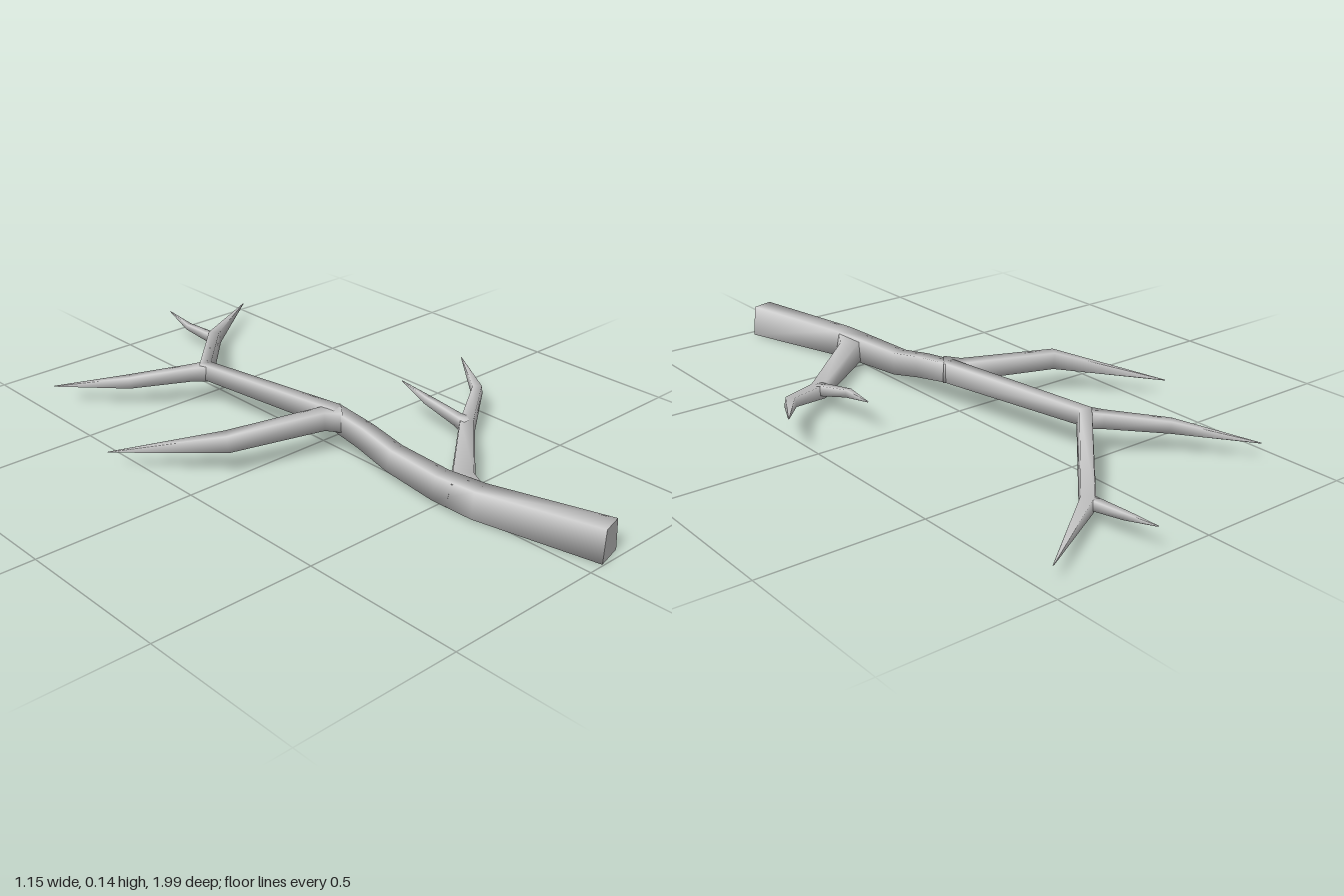
import * as THREE from 'three';

// Sweeps a four-sided section (narrower on top) along points [x, y, z, halfWidth, halfHeight].
function sweep(points) {
  const centres = points.map(([x, y, z]) => new THREE.Vector3(x, y, z));
  const last = points.length - 1;
  const positions = [];
  const indices = [];
  points.forEach(([, , , halfWidth, halfHeight], i) => {
    const tangent = new THREE.Vector3();
    if (i > 0) tangent.add(centres[i].clone().sub(centres[i - 1]).normalize());
    if (i < last) tangent.add(centres[i + 1].clone().sub(centres[i]).normalize());
    tangent.normalize();
    const side = new THREE.Vector3().crossVectors(tangent, new THREE.Vector3(0, 1, 0)).normalize();
    const up = new THREE.Vector3().crossVectors(side, tangent);
    for (const [u, v] of [[-1, -1], [1, -1], [0.78, 1], [-0.78, 1]]) {
      const corner = centres[i].clone()
        .addScaledVector(side, u * halfWidth)
        .addScaledVector(up, v * halfHeight);
      positions.push(corner.x, corner.y, corner.z);
    }
    if (i === last) return;
    for (let k = 0; k < 4; k++) {
      const a = i * 4 + k;
      const b = i * 4 + (k + 1) % 4;
      indices.push(a, b + 4, b, a, a + 4, b + 4);
    }
  });
  const geometry = new THREE.BufferGeometry();
  geometry.setAttribute('position', new THREE.Float32BufferAttribute(positions, 3));
  geometry.setIndex(indices);
  geometry.computeVertexNormals();
  return geometry;
}

// Flat face closing the first section of a sweep.
function cutFace(geometry) {
  const cap = new THREE.BufferGeometry();
  const corners = Array.from(geometry.attributes.position.array.slice(0, 12));
  cap.setAttribute('position', new THREE.Float32BufferAttribute(corners, 3));
  cap.setIndex([0, 1, 2, 0, 2, 3]);
  cap.computeVertexNormals();
  return cap;
}

export function createModel() {
  const model = new THREE.Group();
  model.name = 'branch';
  const bark = new THREE.MeshStandardMaterial({ color: 0xcccccc });
  bark.name = 'light grey bark';

  const limbs = {
    // Main stem, from the cut end to the far tip
    mainStem: [
      [0.096, 0.05, 0.985, 0.045, 0.049],
      [0.003, 0.05, 0.62, 0.04, 0.04],
      [-0.01, 0.052, 0.49, 0.035, 0.037],
      [-0.008, 0.064, 0.31, 0.031, 0.034],
      [-0.007, 0.09, 0.19, 0.029, 0.032],
      [-0.01, 0.11, 0.06, 0.028, 0.029],
      [-0.09, 0.113, -0.45, 0.025, 0.023],
      [0.183, 0.053, -0.757, 0.023, 0.018],
      [0.464, 0.05, -0.942, 0.001, 0.001],
    ],
    // Large side limb on the left and its offshoot
    leftLimb: [
      [-0.005, 0.05, 0.58, 0.056, 0.036],
      [0.048, 0.05, 0.518, 0.037, 0.03],
      [0.315, 0.052, 0.29, 0.025, 0.02],
      [0.47, 0.088, 0.19, 0.018, 0.014],
      [0.572, 0.115, 0.03, 0.001, 0.001],
    ],
    leftOffshoot: [
      [0.316, 0.054, 0.3, 0.03, 0.017],
      [0.309, 0.064, 0.26, 0.018, 0.015],
      [0.301, 0.09, 0.14, 0.012, 0.011],
      [0.317, 0.106, 0.015, 0.001, 0.001],
    ],
    // Single limb on the right
    rightLimb: [
      [-0.005, 0.11, 0.085, 0.046, 0.028],
      [-0.05, 0.109, 0.05, 0.029, 0.027],
      [-0.34, 0.101, -0.035, 0.026, 0.025],
      [-0.575, 0.051, -0.29, 0.001, 0.001],
    ],
    // Small twigs near the far end
    rightTwig: [
      [-0.085, 0.11, -0.445, 0.032, 0.023],
      [-0.13, 0.104, -0.482, 0.023, 0.021],
      [-0.28, 0.083, -0.595, 0.02, 0.017],
      [-0.442, 0.051, -0.785, 0.001, 0.001],
    ],
    farTwig: [
      [0.188, 0.053, -0.745, 0.027, 0.016],
      [0.176, 0.054, -0.785, 0.016, 0.013],
      [0.169, 0.06, -0.88, 0.011, 0.009],
      [0.176, 0.08, -0.995, 0.001, 0.001],
    ],
  };

  for (const [name, points] of Object.entries(limbs)) {
    const geometry = sweep(points);
    const limb = new THREE.Mesh(geometry, bark);
    limb.name = name;
    model.add(limb);
    if (name === 'mainStem') {
      const cut = new THREE.Mesh(cutFace(geometry), bark);
      cut.name = 'cutEnd';
      model.add(cut);
    }
  }
  return model;
}
